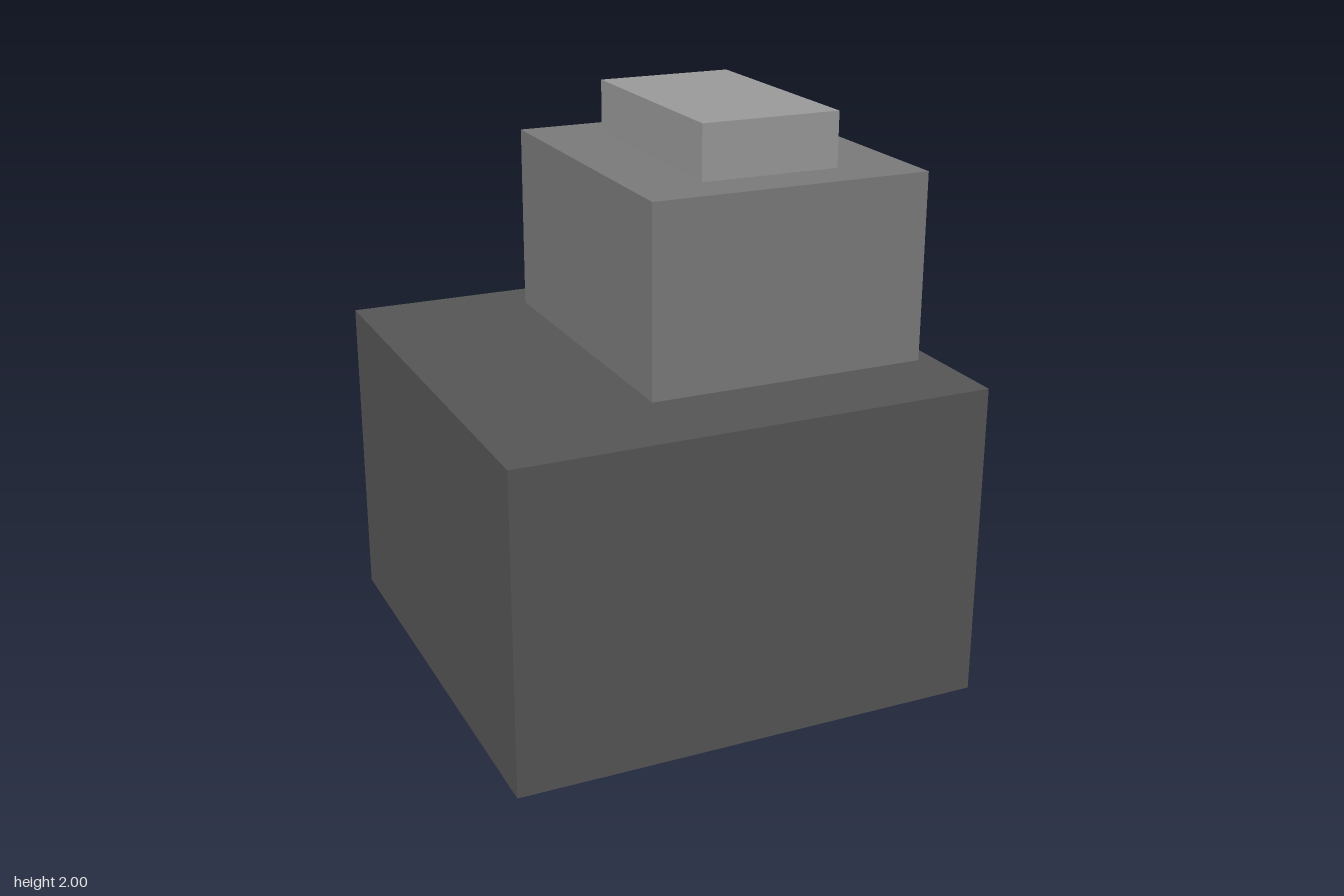
import * as THREE from 'three';

// Box given by its [min, max] extent along each axis
function block(name, color, [x0, x1], [y0, y1], [z0, z1]) {
  const mesh = new THREE.Mesh(
    new THREE.BoxGeometry(x1 - x0, y1 - y0, z1 - z0),
    new THREE.MeshStandardMaterial({ color })
  );
  mesh.position.set((x0 + x1) / 2, (y0 + y1) / 2, (z0 + z1) / 2);
  mesh.name = name;
  return mesh;
}

export function createModel() {
  const group = new THREE.Group();
  group.name = 'steppedBlocks';
  group.add(
    // wide dark base
    block('baseBlock', 0x555555, [-0.85, 0.85], [0, 1.133], [-0.85, 0.85]),
    // middle tier, set towards the left and back
    block('middleBlock', 0x7a7a7a, [-0.227, 0.79], [1.133, 1.805], [-0.68, 0.51]),
    // thin cap
    block('topBlock', 0x999999, [0.027, 0.536], [1.805, 2], [-0.51, 0.34])
  );
  return group;
}
